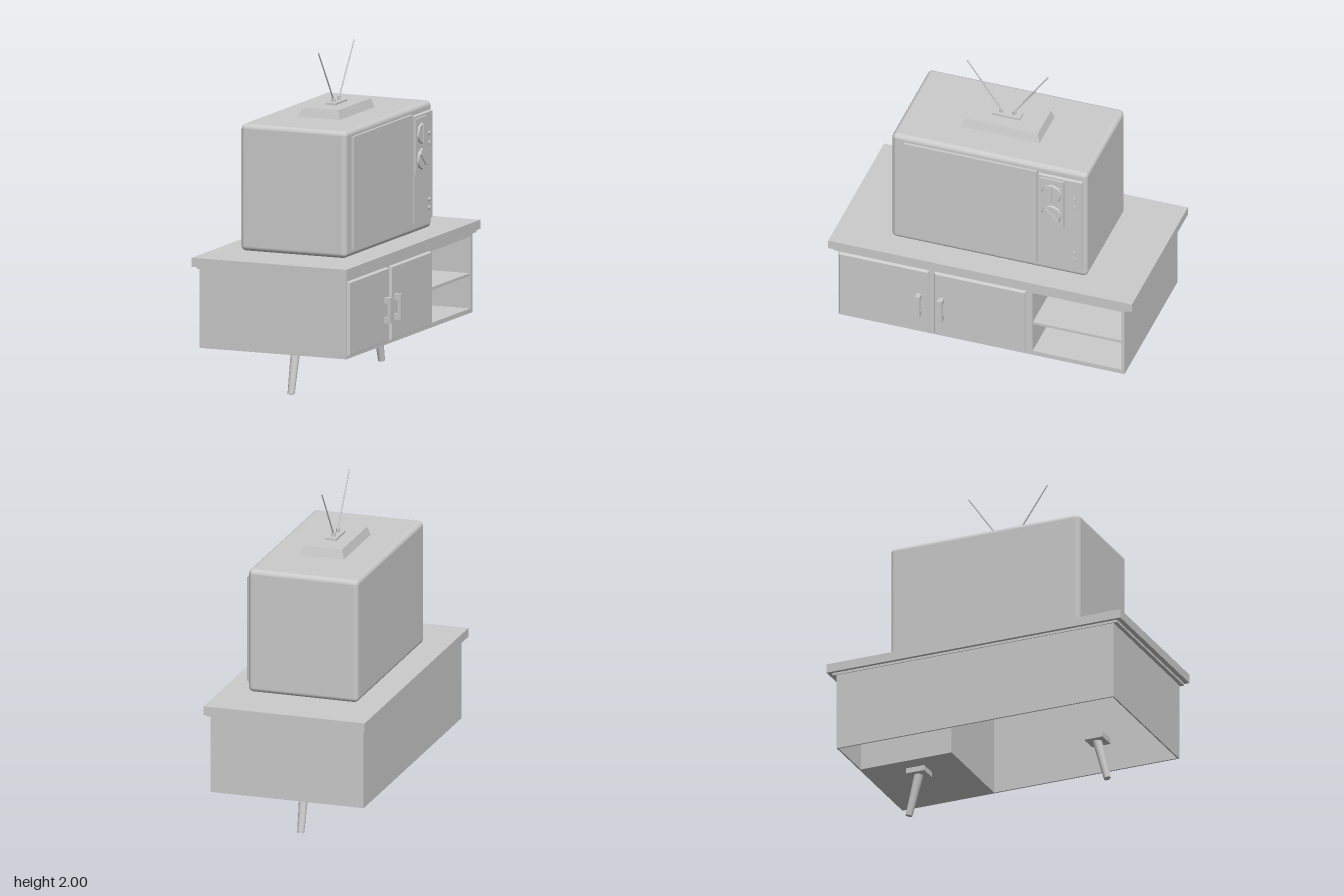
import * as THREE from 'three';
import { RoundedBoxGeometry } from 'three/addons/geometries/RoundedBoxGeometry.js';

const grey = new THREE.MeshStandardMaterial({ color: 0xcccccc });

export function createModel() {
  const model = new THREE.Group();

  const add = (name, geometry) => {
    const mesh = new THREE.Mesh(geometry, grey);
    mesh.name = name;
    model.add(mesh);
    return mesh;
  };

  // Box given by its limits on each axis
  const box = (name, x0, x1, y0, y1, z0, z1) => {
    const mesh = add(name, new THREE.BoxGeometry(x1 - x0, y1 - y0, z1 - z0));
    mesh.position.set((x0 + x1) / 2, (y0 + y1) / 2, (z0 + z1) / 2);
    return mesh;
  };

  // Box whose face toward +axis is drawn in by an inset
  const bevelBox = (name, axis, inset, ...limits) => {
    const mesh = box(name, ...limits);
    const p = mesh.geometry.attributes.position;
    for (let i = 0; i < p.count; i++) {
      if (p.getComponent(i, axis) <= 0) continue;
      for (let a = 0; a < 3; a++) {
        if (a === axis) continue;
        const v = p.getComponent(i, a);
        p.setComponent(i, a, v - Math.sign(v) * inset);
      }
    }
    mesh.geometry.computeVertexNormals();
    return mesh;
  };

  // Plate in the z-y plane with one rectangular hole; rects are [z0, z1, y0, y1]
  const frame = (name, x0, x1, outer, hole) => {
    const trace = (path, [z0, z1, y0, y1]) => path
      .moveTo(-z0, y0).lineTo(-z1, y0).lineTo(-z1, y1).lineTo(-z0, y1).closePath();
    const shape = new THREE.Shape();
    trace(shape, outer);
    const opening = new THREE.Path();
    trace(opening, hole);
    shape.holes.push(opening);
    const mesh = add(name, new THREE.ExtrudeGeometry(shape, { depth: x1 - x0, bevelEnabled: false }));
    mesh.rotation.y = Math.PI / 2;
    mesh.position.x = x0;
    return mesh;
  };

  // Round bar between two points
  const rod = (name, from, to, r0, r1, sides) => {
    const a = new THREE.Vector3(...from), b = new THREE.Vector3(...to);
    const dir = b.clone().sub(a);
    const mesh = add(name, new THREE.CylinderGeometry(r1, r0, dir.length(), sides));
    mesh.position.copy(a).add(b).multiplyScalar(0.5);
    mesh.quaternion.setFromUnitVectors(new THREE.Vector3(0, 1, 0), dir.normalize());
    return mesh;
  };

  // Cabinet shell, open underneath behind the doors
  box('cabinetTop', -0.525, 0.485, 0.785, 0.84, -0.955, 0.955);
  box('topMoulding', -0.505, 0.475, 0.77, 0.785, -0.925, 0.925);
  box('cabinetBack', -0.5, -0.49, 0.29, 0.775, -0.9, 0.9);
  for (const s of [-1, 1]) {
    box('cabinetEnd', -0.5, 0.46, 0.29, 0.775, s * 0.895 - 0.005, s * 0.895 + 0.005);
  }
  frame('cabinetFront', 0.45, 0.46, [-0.9, 0.9, 0.29, 0.775], [-0.88, -0.32, 0.315, 0.75]);

  // Open compartment with its shelf
  box('compartmentFloor', -0.16, 0.455, 0.29, 0.315, -0.895, -0.3);
  box('compartmentCeiling', -0.16, 0.455, 0.75, 0.772, -0.895, -0.3);
  box('compartmentBack', -0.17, -0.16, 0.29, 0.772, -0.895, -0.3);
  box('compartmentSide', -0.16, 0.455, 0.29, 0.772, -0.32, -0.3);
  box('compartmentSide', -0.16, 0.455, 0.29, 0.772, -0.895, -0.88);
  box('shelf', -0.16, 0.45, 0.51, 0.527, -0.88, -0.32);

  // Doors and their bracket handles
  for (const [z0, z1, h] of [[0.325, 0.893, 0.385], [-0.283, 0.295, 0.245]]) {
    bevelBox('door', 0, 0.008, 0.46, 0.477, 0.307, 0.757, z0, z1);
    box('handleGrip', 0.5, 0.52, 0.43, 0.585, h - 0.015, h + 0.015);
    box('handleFoot', 0.475, 0.5, 0.43, 0.465, h - 0.015, h + 0.015);
    box('handleFoot', 0.475, 0.5, 0.55, 0.585, h - 0.015, h + 0.015);
  }

  // Splayed legs on mounting blocks
  for (const s of [-1, 1]) {
    box('legBlock', -0.075, 0.04, 0.257, 0.29, s * 0.58 - 0.06, s * 0.58 + 0.06);
    rod('leg', [-0.018, 0.005, s * 0.645], [-0.018, 0.26, s * 0.58], 0.021, 0.028, 16);
  }

  // Television body
  const body = add('televisionBody', new RoundedBoxGeometry(0.69, 0.765, 1.23, 4, 0.03));
  body.position.set(-0.02, 1.2225, 0);

  // Screen in its surround
  frame('screenSurround', 0.32, 0.342, [-0.305, 0.53, 0.885, 1.565], [-0.257, 0.48, 0.94, 1.51]);
  box('screen', 0.315, 0.33, 0.94, 1.51, -0.257, 0.48);

  // Control panel with two dials and small buttons
  bevelBox('controlPanel', 0, 0.008, 0.32, 0.34, 0.895, 1.555, -0.595, -0.312);
  box('dialPlate', 0.335, 0.353, 1.2, 1.535, -0.48, -0.33);
  for (const [y, tilt] of [[1.44, 0], [1.285, Math.PI / 4]]) {
    rod('dial', [0.35, y, -0.405], [0.364, y, -0.405], 0.066, 0.06, 8);
    box('dialGrip', 0.36, 0.371, y - 0.055, y + 0.055, -0.411, -0.399).rotation.x = tilt;
  }
  for (const y of [1.42, 1.36, 1.02, 0.97]) {
    rod('button', [0.335, y, -0.54], [0.35, y, -0.54], 0.013, 0.012, 10);
  }

  // Aerial on a tapered base
  bevelBox('aerialBase', 1, 0.018, -0.155, 0.12, 1.6, 1.66, -0.248, 0.248);
  box('aerialPlate', -0.05, 0.015, 1.655, 1.672, -0.087, 0.087);
  for (const s of [-1, 1]) {
    rod('aerialSocket', [-0.018, 1.67, s * 0.042], [-0.018, 1.695, s * 0.042], 0.012, 0.011, 10);
    rod('aerialRod', [-0.018, 1.685, s * 0.038], [-0.018, 2, s * 0.255], 0.005, 0.004, 8);
  }

  return model;
}
